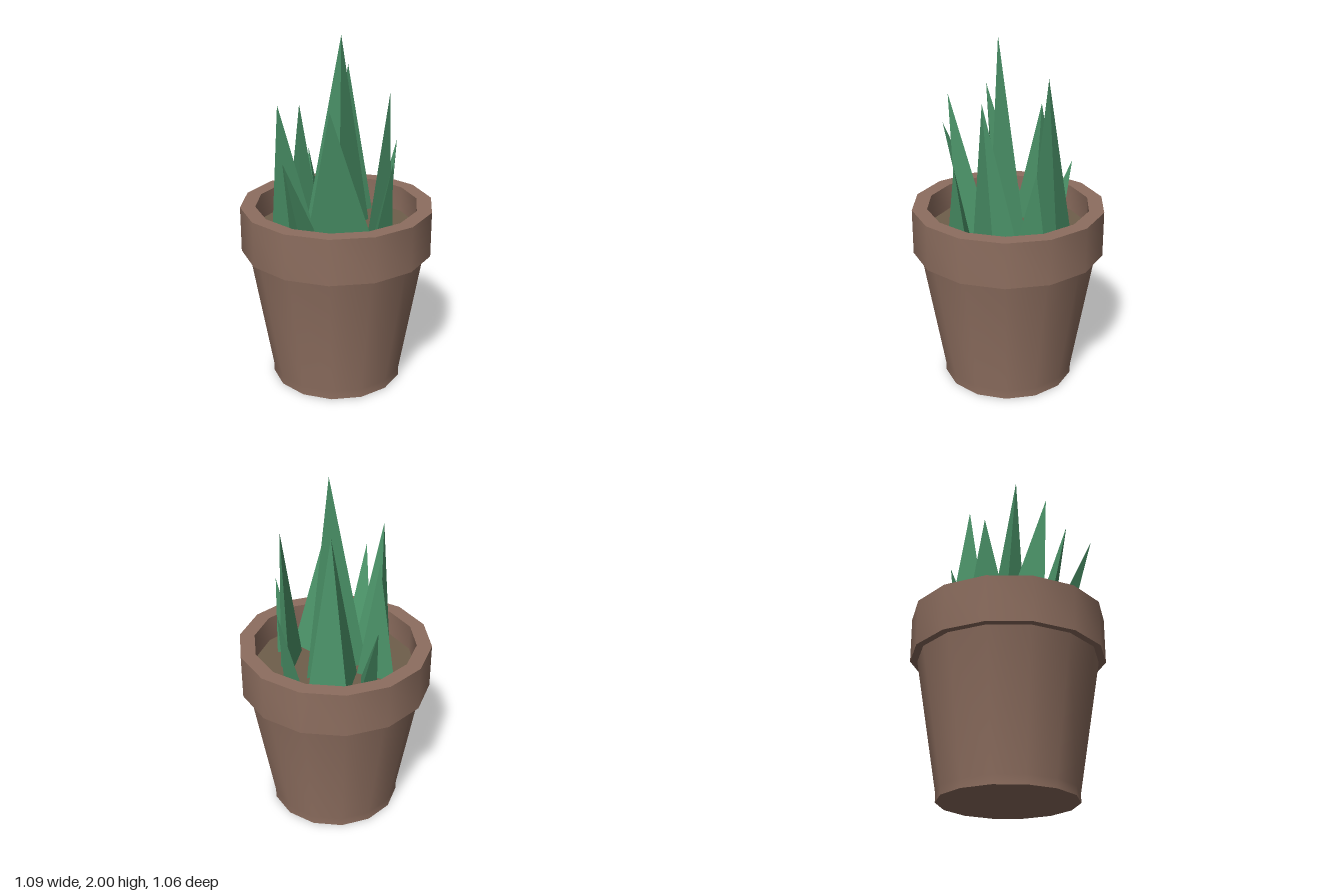
import * as THREE from 'three';
import { toCreasedNormals } from 'three/addons/utils/BufferGeometryUtils.js';

const SIDES = 14;
const SOIL_Y = 0.9;

// Three-sided leaf: tip [x, y, z] over three base corners [x, z] on the soil
function leafGeometry(tip, corners) {
  const [a, b, c] = corners.map(([x, z]) => new THREE.Vector3(x, SOIL_Y, z));
  const t = new THREE.Vector3(...tip);
  // order the corners so that all faces point outwards
  const up = (b.z - a.z) * (c.x - a.x) - (b.x - a.x) * (c.z - a.z);
  const [p, q, r] = up > 0 ? [a, b, c] : [a, c, b];
  const geometry = new THREE.BufferGeometry().setFromPoints([p, q, t, q, r, t, r, p, t, p, r, q]);
  geometry.computeVertexNormals();
  return geometry;
}

export function createModel() {
  const group = new THREE.Group();
  const add = (name, geometry, material, parent = group) => {
    const mesh = new THREE.Mesh(geometry, material);
    mesh.name = name;
    parent.add(mesh);
    return mesh;
  };

  const clay = new THREE.MeshStandardMaterial({ color: 0x8d6e5f });
  const earth = new THREE.MeshStandardMaterial({ color: 0x6f5e4b });
  const green = new THREE.MeshStandardMaterial({ color: 0x4a9167, flatShading: true });

  // Pot: closed base, flared body, thick rim and inner wall
  const profile = [
    [0, 0], [0.38, 0], [0.38, 0.05], [0.505, 0.79], [0.545, 0.79],
    [0.545, 1.05], [0.46, 1.05], [0.46, SOIL_Y - 0.02],
  ].map(([r, y]) => new THREE.Vector2(r, y));
  const pot = new THREE.LatheGeometry(profile, SIDES, Math.PI / 2);
  add('pot', toCreasedNormals(pot, 0.6), clay);

  // Soil inside the rim
  const soil = add('soil', new THREE.CircleGeometry(0.46, SIDES), earth);
  soil.rotation.x = -Math.PI / 2;
  soil.position.y = SOIL_Y;

  // Spiky leaves: tip, then base corners
  const leaves = new THREE.Group();
  leaves.name = 'leaves';
  group.add(leaves);
  [
    [[-0.01, 2.0, 0.055], [[-0.125, -0.13], [0.225, -0.005], [-0.05, 0.095]]],
    [[0.18, 1.79, -0.153], [[-0.02, -0.155], [0.345, -0.135], [0.2, -0.295]]],
    [[-0.09, 1.58, -0.245], [[-0.095, -0.37], [-0.01, -0.165], [-0.175, -0.115]]],
    [[0.05, 1.27, -0.372], [[0.09, -0.295], [0.005, -0.21], [-0.03, -0.3]]],
    [[-0.363, 1.66, -0.02], [[-0.385, -0.07], [-0.165, -0.19], [-0.153, 0.01]]],
    [[-0.475, 1.42, 0.212], [[-0.32, 0.02], [-0.2, 0.13], [-0.33, 0.15]]],
    [[-0.225, 1.66, 0.265], [[-0.24, 0.06], [0.015, 0.12], [0.025, 0.318]]],
    [[0.11, 1.35, 0.363], [[0.065, 0.255], [0.157, 0.315], [-0.01, 0.362]]],
    [[0.185, 1.7, 0.23], [[0.285, 0.07], [0.24, 0.195], [0.043, 0.232]]],
    [[0.403, 1.36, 0.02], [[0.295, -0.035], [0.41, -0.035], [0.295, 0.095]]],
  ].forEach(([tip, corners], i) => add(`leaf${i + 1}`, leafGeometry(tip, corners), green, leaves));

  return group;
}
